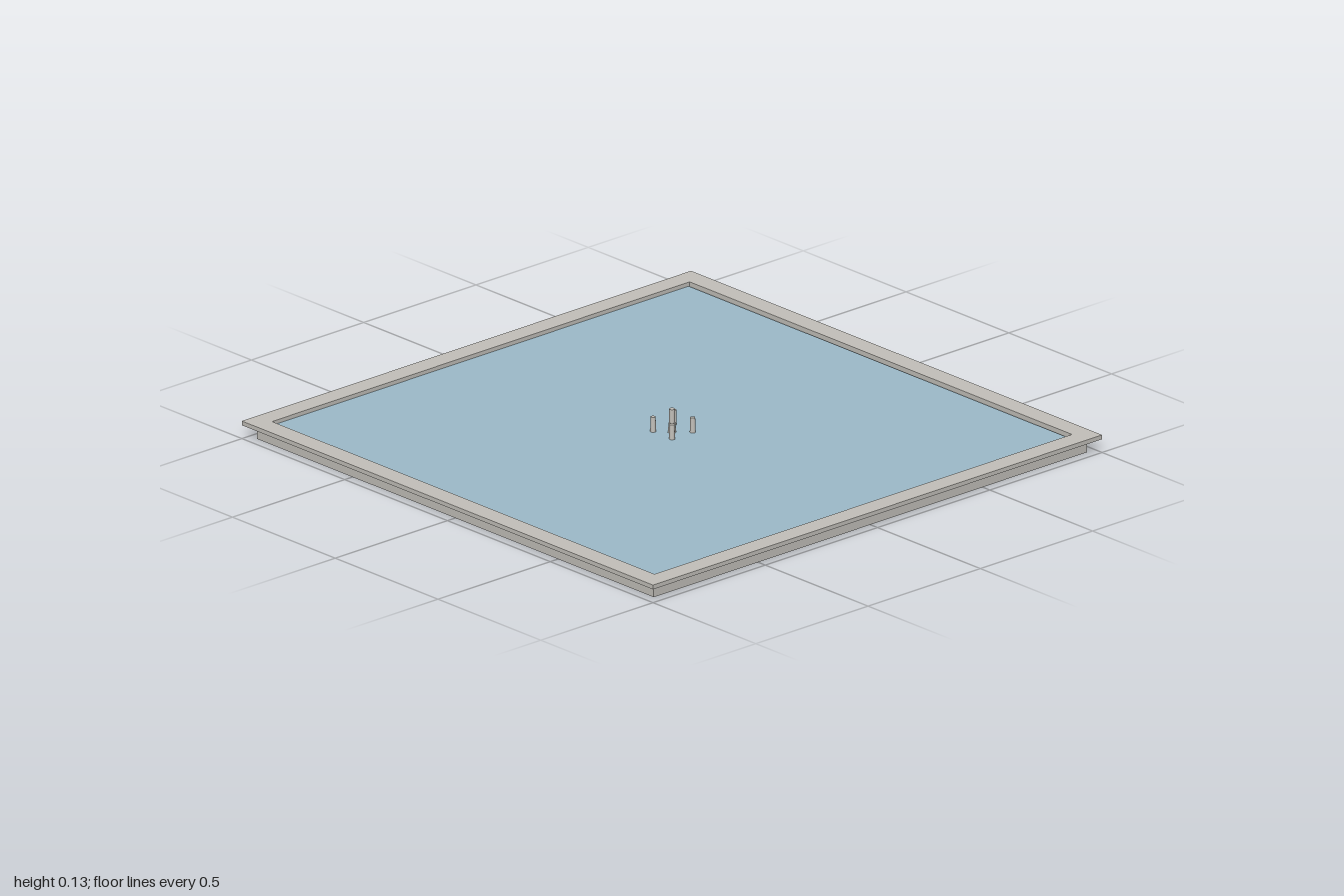
import * as THREE from 'three';

const stone = new THREE.MeshStandardMaterial({ color: 0xc3c0ba });
stone.name = 'stone';
const waterBlue = new THREE.MeshStandardMaterial({ color: 0x9dbbca });
waterBlue.name = 'water blue';

export function createModel() {
  const group = new THREE.Group();

  const add = (name, geometry, material, x = 0, y = 0, z = 0) => {
    const mesh = new THREE.Mesh(geometry, material);
    mesh.name = name;
    mesh.position.set(x, y, z);
    group.add(mesh);
    return mesh;
  };

  // Square ring lying flat, with its underside at y = 0
  const squareRing = (outer, inner, height) => {
    const square = (Type, r) => new Type([[-r, -r], [r, -r], [r, r], [-r, r]].map(([x, y]) => new THREE.Vector2(x, y)));
    const shape = square(THREE.Shape, outer);
    shape.holes.push(square(THREE.Path, inner));
    return new THREE.ExtrudeGeometry(shape, { depth: height, bevelEnabled: false }).rotateX(-Math.PI / 2);
  };

  // Basin: floor, walls and overhanging coping
  add('basinFloor', new THREE.BoxGeometry(1.93, 0.012, 1.93), stone, 0, 0.006, 0);
  add('basinWalls', squareRing(0.965, 0.93, 0.035), stone, 0, 0.012, 0);
  add('coping', squareRing(1, 0.93, 0.015), stone, 0, 0.047, 0);

  // Water sheet, leaving a narrow gap along the left and back walls
  add('water', new THREE.BoxGeometry(1.847, 0.008, 1.855), waterBlue, -0.0065, 0.044, 0.0025);

  // Central nozzle: flared foot and straight pipe
  add('nozzleFoot', new THREE.CylinderGeometry(0.011, 0.017, 0.06, 12), stone, 0, 0.052, 0);
  add('nozzlePipe', new THREE.CylinderGeometry(0.01, 0.01, 0.05, 12), stone, 0, 0.105, 0);

  // Four smaller jets around it
  for (const x of [-0.046, 0.046]) {
    for (const z of [-0.05, 0.042]) {
      add('sideJet', new THREE.CylinderGeometry(0.0085, 0.011, 0.088, 12), stone, x, 0.056, z);
    }
  }
  return group;
}
